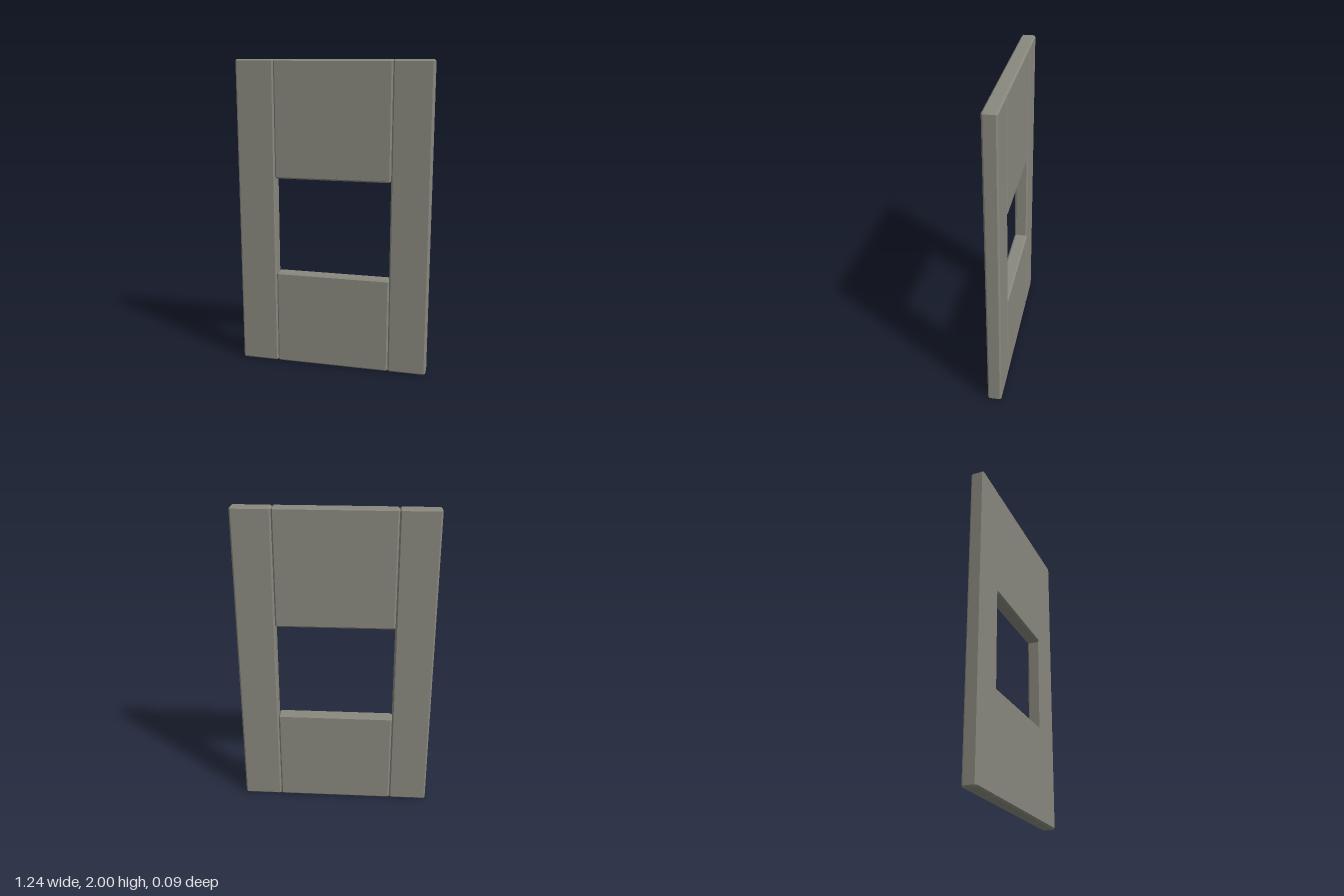
import * as THREE from 'three';
import { ConvexGeometry } from 'three/addons/geometries/ConvexGeometry.js';

const DEPTH = 0.088;
const CHAMFER = 0.01;
const material = new THREE.MeshStandardMaterial({ color: 0x88887e, flatShading: true });

// Box with all twelve edges cut at 45 degrees: three corner points per octant
function chamferedBox(w, h, d, c) {
  const half = [w / 2, h / 2, d / 2];
  const points = [];
  for (const sx of [-1, 1]) for (const sy of [-1, 1]) for (const sz of [-1, 1]) {
    for (let outer = 0; outer < 3; outer++) {
      const [x, y, z] = half.map((v, axis) => (axis === outer ? v : v - c));
      points.push(new THREE.Vector3(sx * x, sy * y, sz * z));
    }
  }
  return new ConvexGeometry(points);
}

function panel(name, x0, x1, y0, y1) {
  const mesh = new THREE.Mesh(chamferedBox(x1 - x0, y1 - y0, DEPTH, CHAMFER), material);
  mesh.name = name;
  mesh.position.set((x0 + x1) / 2, (y0 + y1) / 2, 0);
  return mesh;
}

export function createModel() {
  const group = new THREE.Group();
  group.name = 'wallWithWindow';
  const inner = 0.375, outer = 0.622;

  // Full-height side panels
  group.add(panel('leftPanel', inner, outer, 0, 2));
  group.add(panel('rightPanel', -outer, -inner, 0, 2));

  // Panels above and below the window opening
  group.add(panel('upperPanel', -inner, inner, 1.255, 2));
  group.add(panel('lowerPanel', -inner, inner, 0, 0.625));
  return group;
}
